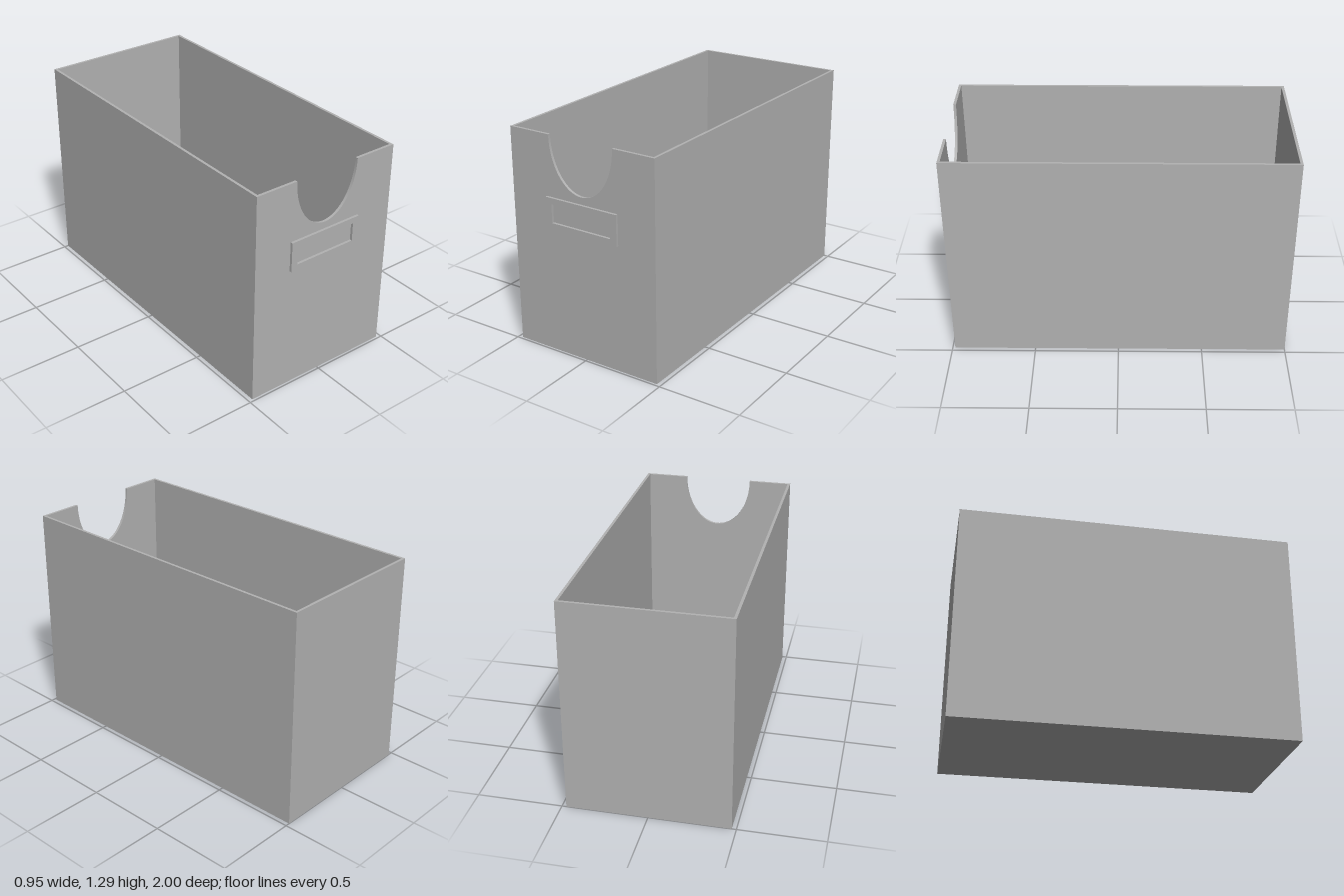
import * as THREE from 'three';
import { toCreasedNormals } from 'three/addons/utils/BufferGeometryUtils.js';

const W = 0.474, H = 1.29, BACK = -1, FRONT = 0.985, T = 0.016;

export function createModel() {
  const model = new THREE.Group();
  model.name = 'storageBox';
  const grey = new THREE.MeshStandardMaterial({ color: 0xb2b2b2 });
  grey.name = 'grey';

  const add = (name, geometry, x, y, z) => {
    const mesh = new THREE.Mesh(geometry, grey);
    mesh.name = name;
    mesh.position.set(x, y, z);
    model.add(mesh);
  };
  const extrude = (shape, depth) => toCreasedNormals(
    new THREE.ExtrudeGeometry(shape, { depth, bevelEnabled: false, curveSegments: 48 }), 0.5);

  // floor, between the walls
  const innerLength = FRONT - BACK - 2 * T;
  const midZ = (FRONT + BACK) / 2;
  add('floor', new THREE.BoxGeometry(2 * (W - T), T, innerLength), 0, T / 2, midZ);

  // side walls
  for (const [name, side] of [['leftWall', 1], ['rightWall', -1]]) {
    add(name, new THREE.BoxGeometry(T, H, innerLength), side * (W - T / 2), H / 2, midZ);
  }

  // back wall
  add('backWall', new THREE.BoxGeometry(2 * W, H, T), 0, H / 2, BACK + T / 2);

  // front wall with a half-ellipse finger notch
  const front = new THREE.Shape();
  front.moveTo(-W, 0);
  front.lineTo(W, 0);
  front.lineTo(W, H);
  front.lineTo(0.21, H);
  front.absellipse(0, H, 0.21, 0.313, 0, Math.PI, true);
  front.lineTo(-W, H);
  front.closePath();
  add('frontWall', extrude(front, T), 0, 0, FRONT - T);

  // raised label frame
  const rect = (path, x0, y0, x1, y1) => {
    path.moveTo(x0, y0);
    path.lineTo(x1, y0);
    path.lineTo(x1, y1);
    path.lineTo(x0, y1);
    path.closePath();
    return path;
  };
  const frame = rect(new THREE.Shape(), -0.238, 0.755, 0.236, 0.936);
  frame.holes.push(rect(new THREE.Path(), -0.197, 0.79, 0.195, 0.901));
  add('labelFrame', extrude(frame, 1 - FRONT), 0, 0, FRONT);

  return model;
}
